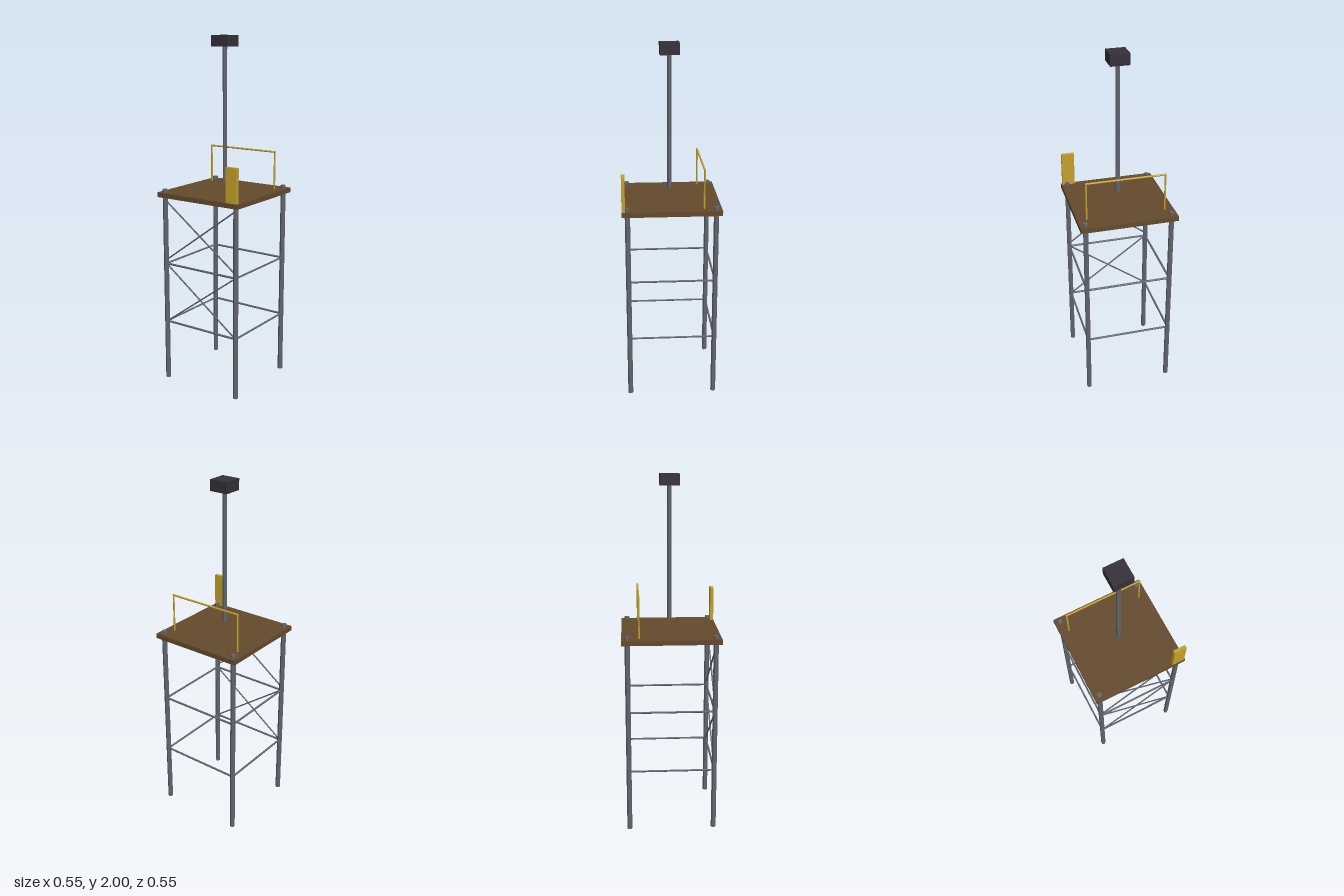
import * as THREE from 'three';

export function createModel() {
  const model = new THREE.Group();
  model.name = 'watchtower';

  const mat = (name, color) => {
    const m = new THREE.MeshStandardMaterial({ color, flatShading: true });
    m.name = name;
    return m;
  };
  const steel = mat('steel grey', 0x62666e);
  const wood = mat('plank brown', 0x644a2c);
  const gold = mat('safety yellow', 0xc4a22c);
  const dark = mat('dark housing', 0x362f38);

  const add = (name, geometry, material, parent = model) => {
    const mesh = new THREE.Mesh(geometry, material);
    mesh.name = name;
    parent.add(mesh);
    return mesh;
  };
  // Box given by its lower and upper corners
  const box = (name, a, b, material) => {
    const mesh = add(name, new THREE.BoxGeometry(b[0] - a[0], b[1] - a[1], b[2] - a[2]), material);
    mesh.position.set((a[0] + b[0]) / 2, (a[1] + b[1]) / 2, (a[2] + b[2]) / 2);
  };
  // Hexagonal bar between two points
  const bar = (name, a, b, radius, material, parent = model) => {
    const from = new THREE.Vector3(...a), to = new THREE.Vector3(...b);
    const dir = to.clone().sub(from);
    const mesh = add(name, new THREE.CylinderGeometry(radius, radius, dir.length(), 6), material, parent);
    mesh.position.copy(from).add(to).multiplyScalar(0.5);
    mesh.quaternion.setFromUnitVectors(new THREE.Vector3(0, 1, 0), dir.normalize());
  };
  const group = (name) => {
    const g = new THREE.Group();
    g.name = name;
    model.add(g);
    return g;
  };

  const L = 0.243; // leg offset from the centre

  // Four legs poking through the deck
  const legs = group('legs');
  for (const x of [-L, L])
    for (const z of [-L, L]) bar('leg', [x, 0, z], [x, 1.15, z], 0.0145, steel, legs);

  // Two rings of horizontal struts
  const struts = group('struts');
  for (const y of [0.357, 0.711])
    for (const s of [-L, L]) {
      bar('crossStrut', [-L, y, s], [L, y, s], 0.006, steel, struts);
      bar('sideStrut', [s, y, -L], [s, y, L], 0.006, steel, struts);
    }

  // Crossed braces on the front face only
  const braces = group('braces');
  for (const y of [0.534, 0.91])
    for (const s of [-1, 1])
      bar('diagonalBrace', [-L, y - s * 0.178, L], [L, y + s * 0.178, L], 0.0045, steel, braces);

  // Deck and front corner panel
  box('deck', [-0.275, 1.106, -0.275], [0.275, 1.133, 0.275], wood);
  box('cornerPanel', [0.195, 1.133, 0.255], [0.268, 1.326, 0.274], gold);

  // Rear guard rail
  const rail = group('guardRail');
  const rz = -0.178;
  for (const x of [-0.222, 0.222]) bar('railPost', [x, 1.13, rz], [x, 1.348, rz], 0.005, gold, rail);
  bar('railTop', [-0.226, 1.35, rz], [0.226, 1.35, rz], 0.0055, gold, rail);

  // Floating mast with its housing
  bar('mast', [0, 1.187, 0], [0, 1.945, 0], 0.0125, steel);
  box('mastHousing', [-0.054, 1.938, -0.054], [0.054, 2, 0.054], dark);

  return model;
}
